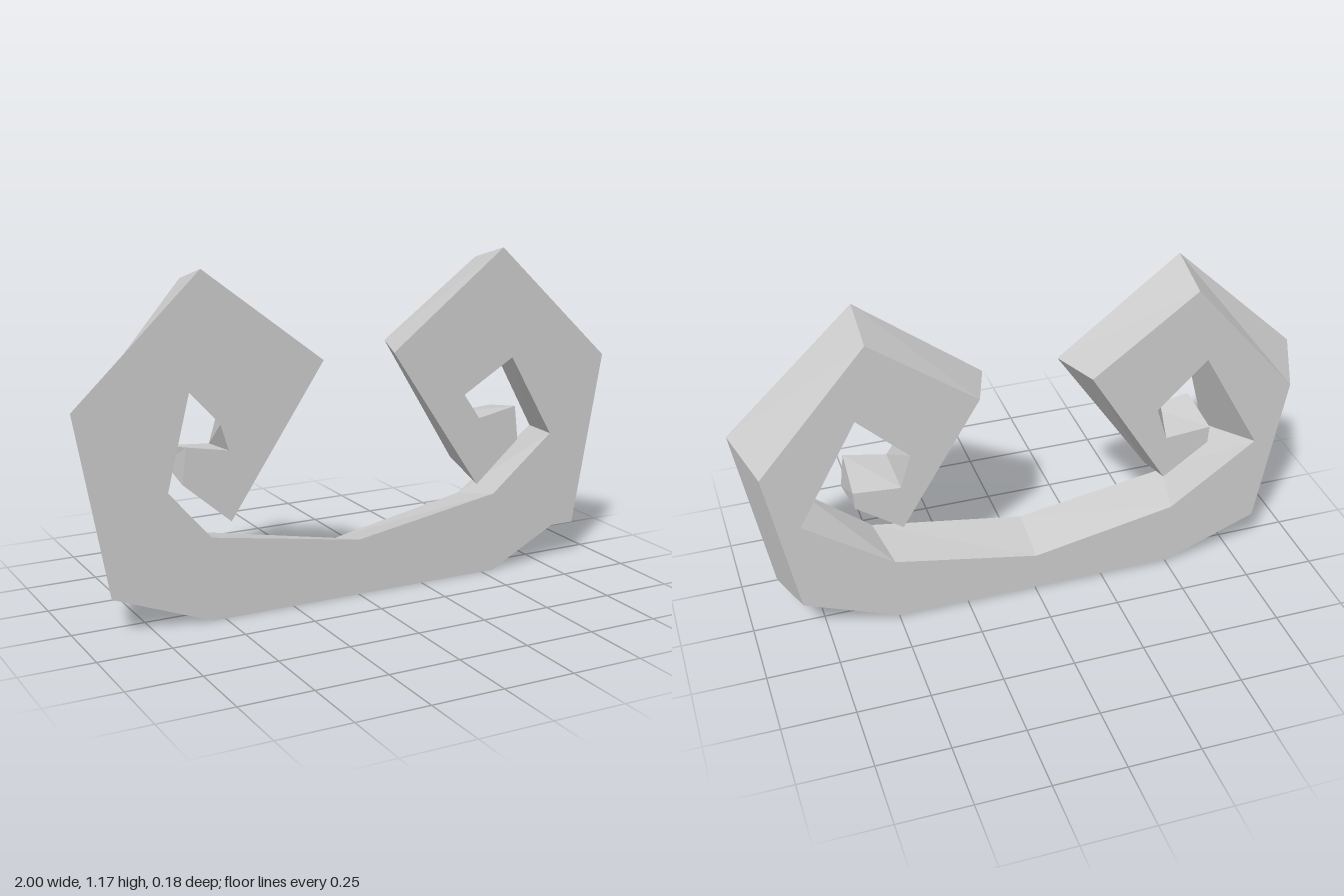
import * as THREE from 'three';

const HALF_DEPTH = 0.09;

// Half outline, anticlockwise from the base: front x, front y, back x, back y
const half = [
  [0.545, 0.003, 0.505, 0.015],  // base
  [0.89, 0.135, 0.832, 0.146],   // lower outer corner
  [1.0, 0.755, 0.932, 0.685],    // outer shoulder
  [0.562, 1.17, 0.562, 1.117],   // peak
  [0.133, 0.84, 0.195, 0.848],   // inner shoulder
  [0.472, 0.335, 0.47, 0.394],   // hook tip
  [0.64, 0.48, 0.63, 0.508],
  [0.626, 0.603, 0.634, 0.57],
  [0.477, 0.575, 0.472, 0.557],  // eye of the curl
  [0.415, 0.665, 0.435, 0.678],
  [0.61, 0.78, 0.61, 0.846],
  [0.78, 0.485, 0.815, 0.472],
  [0.543, 0.29, 0.506, 0.252],   // top of the base bar
];

// Mirror the half outline, with the small uneven corners on each side
function makeOutline() {
  const left = half.map((p) => [...p]);
  left.splice(1, 0, [0.8, 0.135, 0.832, 0.146]); // notch beside the foot
  const right = half.map(([fx, fy, bx, by]) => [-fx, fy, -bx, by]);
  right[9][0] = -0.505;
  right[11][0] = -0.69;
  right[11][1] = 0.46;
  return [...left, [0, 0.2, 0, 0.155], ...right.reverse()];
}

// Join the front outline to the tapered back outline and cap both
function makeBandGeometry() {
  const outline = makeOutline();
  const n = outline.length;
  const front = outline.map(([x, y]) => new THREE.Vector3(x, y, HALF_DEPTH));
  const back = outline.map(([, , x, y]) => new THREE.Vector3(x, y, -HALF_DEPTH));
  const corners = [];
  const flat = (loop) => loop.map((p) => new THREE.Vector2(p.x, p.y));

  for (const [a, b, c] of THREE.ShapeUtils.triangulateShape(flat(front), [])) {
    corners.push(front[a], front[b], front[c]);
  }
  for (const [a, b, c] of THREE.ShapeUtils.triangulateShape(flat(back), [])) {
    corners.push(back[c], back[b], back[a]);
  }
  for (let i = 0; i < n; i++) {
    const j = (i + 1) % n;
    corners.push(front[i], back[i], back[j], front[i], back[j], front[j]);
  }

  const geometry = new THREE.BufferGeometry().setFromPoints(corners);
  geometry.computeVertexNormals();
  return geometry;
}

export function createModel() {
  const group = new THREE.Group();
  group.name = 'curledOrnament';
  const material = new THREE.MeshStandardMaterial({ color: 0xcccccc, flatShading: true });
  const band = new THREE.Mesh(makeBandGeometry(), material);
  band.name = 'curledBand';
  group.add(band);
  return group;
}
